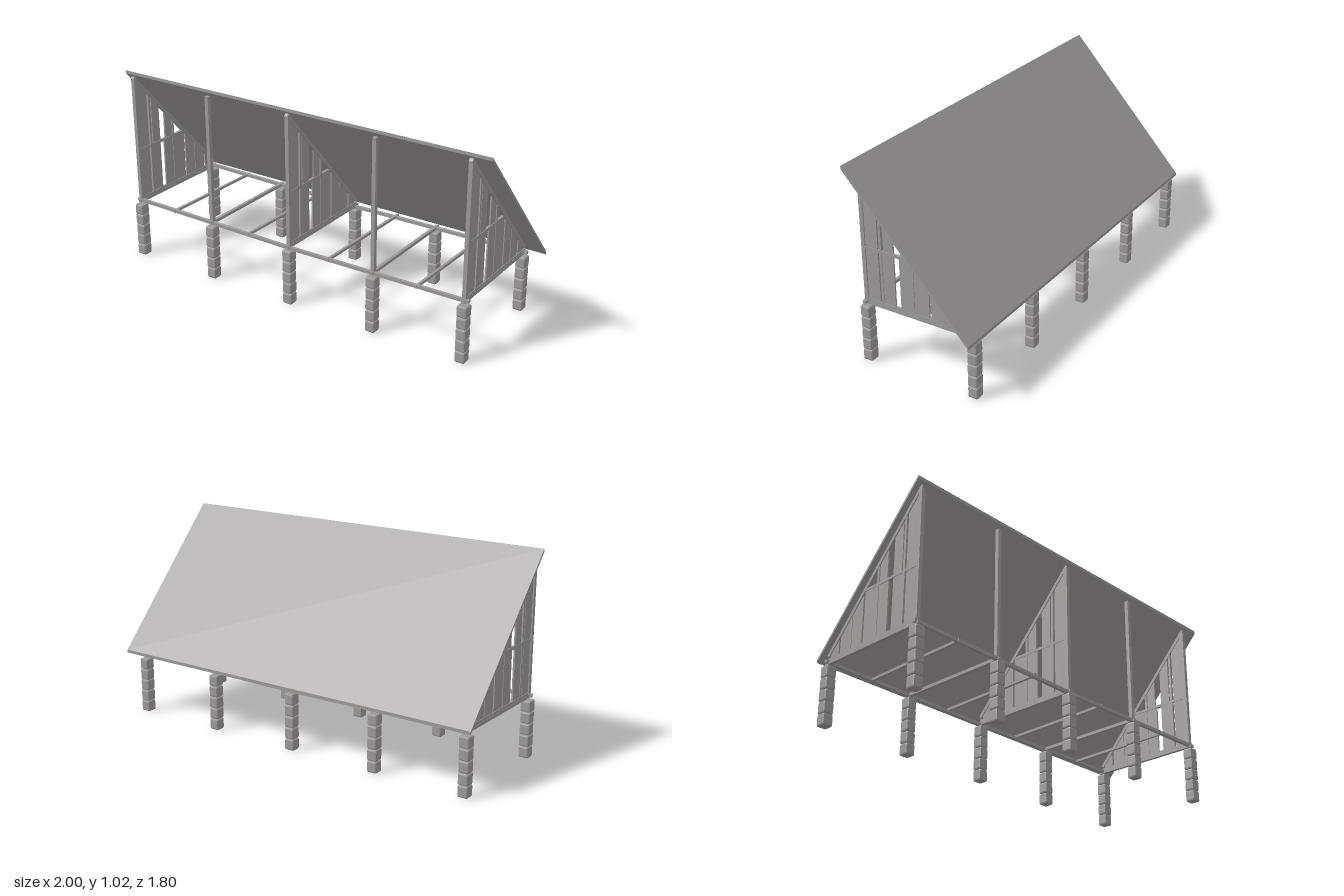
import * as THREE from 'three';
import { RoundedBoxGeometry } from 'three/addons/geometries/RoundedBoxGeometry.js';

const PILLAR_X = [-0.995, -0.514, -0.033, 0.449, 0.93];
const FRONT_Z = 0.306, BACK_Z = -0.278, FLOOR_Y = 0.308, RAIL_Y = 0.59;

// Height of the roof's underside at depth z
const under = (z) => 0.309 + (z + 0.316) * 1.0997;

export function createModel() {
  const grey = new THREE.MeshStandardMaterial({ color: 0x9c9999, flatShading: true });
  grey.name = 'weatheredGrey';

  const model = new THREE.Group();
  model.name = 'leanTo';
  const building = new THREE.Group();
  building.name = 'building';
  building.rotation.y = -0.685;
  model.add(building);

  const add = (parent, name, geometry) => {
    const mesh = new THREE.Mesh(geometry, grey);
    mesh.name = name;
    parent.add(mesh);
    return mesh;
  };

  // Side profile of [z, y] points, extruded along x
  const slab = (parent, name, points, x, width) => {
    const shape = new THREE.Shape(points.map(([z, y]) => new THREE.Vector2(-z, y)));
    const geometry = new THREE.ExtrudeGeometry(shape, { depth: width, bevelEnabled: false });
    geometry.rotateY(Math.PI / 2).translate(x - width / 2, 0, 0);
    return add(parent, name, geometry);
  };

  // Square timber between two points
  const beam = (parent, name, from, to, size = 0.016) => {
    const a = new THREE.Vector3(...from), b = new THREE.Vector3(...to);
    const mesh = add(parent, name, new THREE.BoxGeometry(size, size, a.distanceTo(b)));
    mesh.position.copy(a).lerp(b, 0.5);
    mesh.quaternion.setFromUnitVectors(new THREE.Vector3(0, 0, 1), b.sub(a).normalize());
    return mesh;
  };

  // Sloping roof sheet
  slab(building, 'roof', [[0.316, 1.004], [0.316, 1.02], [-0.316, 0.325], [-0.316, 0.309]], 0, 2.068);

  // Stacked block pillars, with a front post over each front one
  const block = new RoundedBoxGeometry(0.052, 0.058, 0.052, 1, 0.008);
  PILLAR_X.forEach((x, i) => {
    for (const z of [FRONT_Z, BACK_Z]) {
      const pillar = new THREE.Group();
      pillar.name = z > 0 ? 'frontPillar' : 'backPillar';
      pillar.position.set(x, 0, z);
      for (let k = 0; k < 5; k++) {
        const b = add(pillar, 'block', block);
        b.position.y = 0.029 + k * 0.058;
        b.rotation.y = 0.04 * Math.sin(i * 3 + k * 2 + z * 10);
      }
      building.add(pillar);
    }
    beam(building, 'frontPost', [x, 0.3, 0.302], [x, under(0.294), 0.302], 0.02);
    beam(building, 'floorJoist', [x, FLOOR_Y, BACK_Z - 0.02], [x, FLOOR_Y, 0.32]);
    if (i < 4) {
      const mid = x + 0.24;
      beam(building, 'middleJoist', [mid + 0.008, FLOOR_Y, BACK_Z - 0.02], [mid - 0.004, FLOOR_Y, 0.318], 0.013);
    }
  });

  // Long sills, two slightly uneven lengths on each side
  for (const z of [FRONT_Z, BACK_Z]) {
    beam(building, 'sill', [-1.015, 0.312, z], [-0.02, 0.3, z]);
    beam(building, 'sill', [-0.045, 0.3, z], [0.955, 0.312, z]);
  }

  // Plank cut to the roof slope
  const plank = (wall, x, z0, z1, y0, y1) => {
    const top = (z) => Math.min(y1, under(z) - 0.004);
    if (top(z0) < y0 + 0.01) return;
    const points = [[z1, y0], [z1, top(z1)]];
    const knee = 0.316 - (1.004 - y1 - 0.004) / 1.0997;
    if (knee > z0 && knee < z1) points.push([knee, y1]);
    points.push([z0, top(z0)], [z0, y0]);
    slab(wall, 'plank', points, x, 0.008);
  };

  // Three plank walls with frame, rail and studs
  const lower = [[0.225, 0.292], [0.14, 0.205], [0.045, 0.11], [-0.045, 0.035], [-0.125, -0.055], [-0.2, -0.135], [-0.262, -0.21]];
  const upper = [[0.225, 0.292], [0.14, 0.195], [0.05, 0.1], [-0.045, 0.02]];
  for (const i of [0, 2, 4]) {
    const x = PILLAR_X[i];
    const wall = new THREE.Group();
    wall.name = 'plankWall';
    building.add(wall);
    beam(wall, 'rafter', [x, under(BACK_Z) - 0.012, BACK_Z], [x, under(0.31) - 0.012, 0.31], 0.018);
    beam(wall, 'rail', [x, RAIL_Y, -0.055], [x, RAIL_Y, 0.3], 0.014);
    beam(wall, 'bottomPlate', [x, 0.322, BACK_Z], [x, 0.322, FRONT_Z], 0.014);
    for (const z of [0.21, 0.04, -0.13]) {
      beam(wall, 'stud', [x, 0.315, z], [x, under(z) - 0.012, z], 0.013);
    }
    for (const [a, b] of lower) plank(wall, x, a, b, 0.325, 0.584);
    for (const [a, b] of upper) plank(wall, x, a, b, 0.596, 1);
  }
  return model;
}
